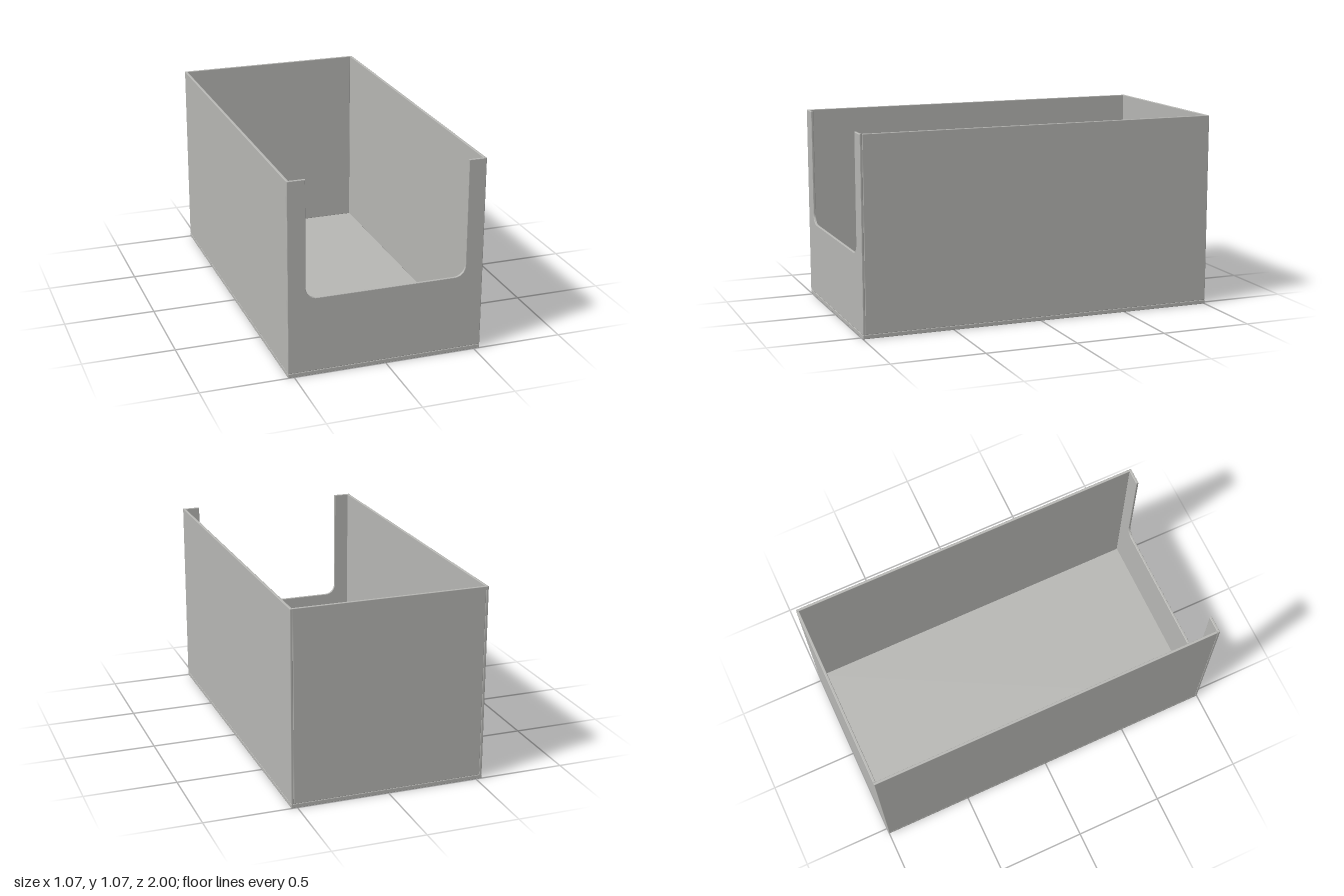
import * as THREE from 'three';
import { RoundedBoxGeometry } from 'three/addons/geometries/RoundedBoxGeometry.js';

const W = 0.533, H = 1.07, D = 1;           // half width, height, half depth
const FLOOR = 0.022, WALL = 0.014, EDGE = 0.003;

export function createModel() {
  const model = new THREE.Group();
  model.name = 'openBin';
  const grey = new THREE.MeshStandardMaterial({ color: 0xb8b8b5 });
  grey.name = 'light grey';

  const add = (name, geometry) => {
    const mesh = new THREE.Mesh(geometry, grey);
    mesh.name = name;
    model.add(mesh);
    return mesh;
  };

  // Panel with softened edges, given by its min and max corners
  const panel = (name, x0, x1, y0, y1, z0, z1) => {
    const mesh = add(name, new RoundedBoxGeometry(x1 - x0, y1 - y0, z1 - z0, 2, EDGE));
    mesh.position.set((x0 + x1) / 2, (y0 + y1) / 2, (z0 + z1) / 2);
  };

  panel('floor', -W, W, 0, FLOOR, -D, D);
  panel('leftWall', W - WALL, W, FLOOR, H, -D, D - WALL);
  panel('rightWall', -W, -W + WALL, FLOOR, H, -D, D - WALL);
  panel('backWall', -W + WALL, W - WALL, FLOOR, H, -D, -D + WALL);

  // Front wall with a round-cornered access cutout, inset to allow for the bevel
  const e = EDGE, cx = 0.436 + e, cy = 0.43 - e, r = 0.06 + e;
  const s = new THREE.Shape();
  s.moveTo(-W + e, FLOOR + e);
  s.lineTo(W - e, FLOOR + e);
  s.lineTo(W - e, H - e);
  s.lineTo(cx, H - e);
  s.lineTo(cx, cy + r);
  s.absarc(cx - r, cy + r, r, 0, -Math.PI / 2, true);
  s.lineTo(-cx + r, cy);
  s.absarc(-cx + r, cy + r, r, -Math.PI / 2, -Math.PI, true);
  s.lineTo(-cx, H - e);
  s.lineTo(-W + e, H - e);
  s.closePath();
  const front = new THREE.ExtrudeGeometry(s, {
    depth: WALL - 2 * e, bevelEnabled: true, bevelSize: e, bevelThickness: e,
    bevelSegments: 2, curveSegments: 12,
  });
  add('frontWall', front).position.z = D - WALL + e;

  return model;
}
